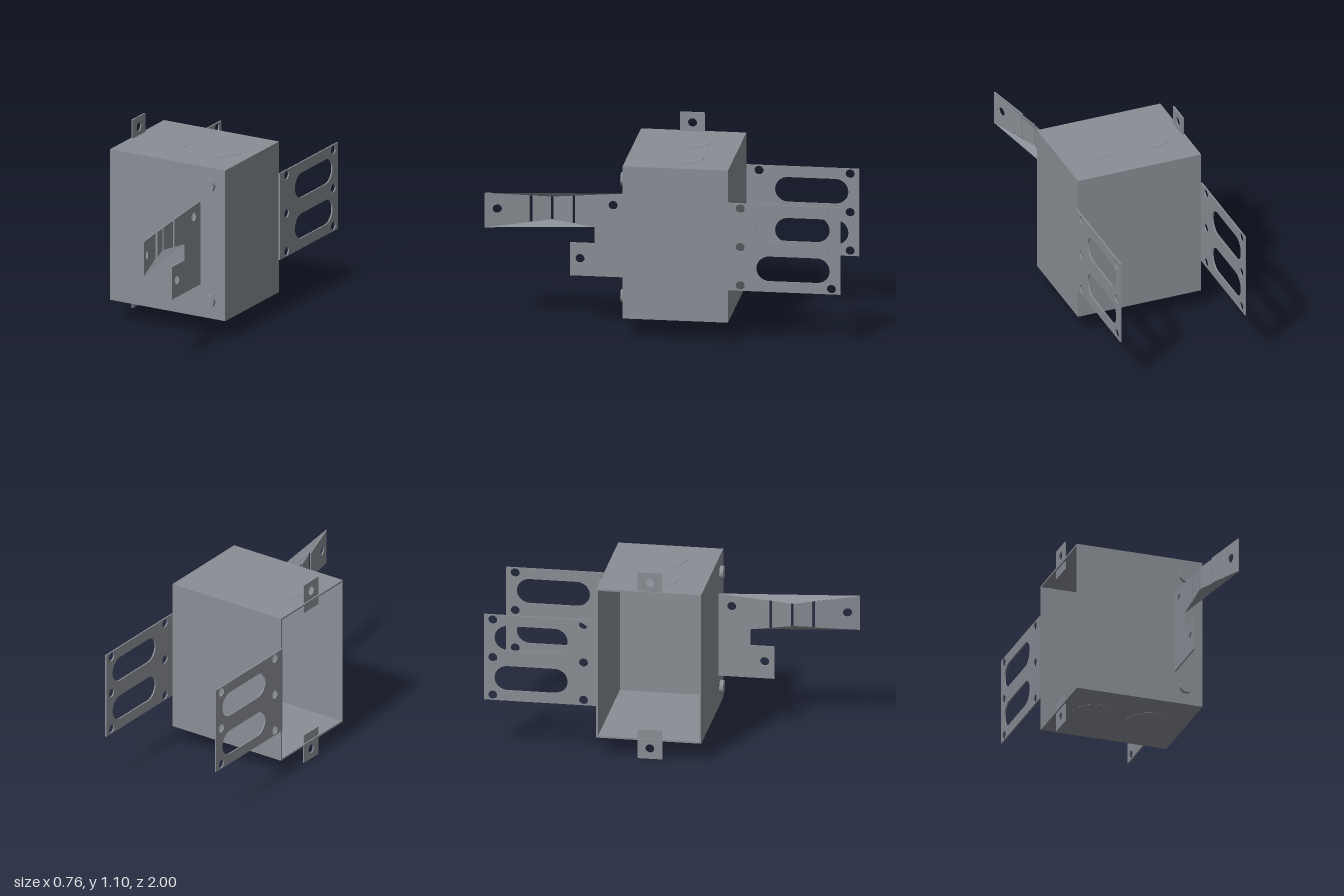
import * as THREE from 'three';

const steel = new THREE.MeshStandardMaterial({ color: 0x8a8e95, side: THREE.DoubleSide });
steel.name = 'galvanised steel';
const T = 0.008; // sheet thickness
const VALLEY = 0.64, SLOPE = 0.1 / 0.36; // fold line of the nailing arm

function add(parent, name, geometry, x = 0, y = 0, z = 0) {
  const m = new THREE.Mesh(geometry, steel);
  m.name = name;
  m.position.set(x, y, z);
  parent.add(m);
  return m;
}

const rect = (z0, z1, y0, y1) => [[z0, y0], [z1, y0], [z1, y1], [z0, y1]];

function roundHole(z, y, r = 0.025) {
  return new THREE.Path().absarc(z, y, r, 0, Math.PI * 2, true);
}

function slotHole(z0, z1, y, r) {
  const p = new THREE.Path();
  p.absarc(z1 - r, y, r, -Math.PI / 2, Math.PI / 2, false);
  p.absarc(z0 + r, y, r, Math.PI / 2, Math.PI * 1.5, false);
  p.closePath();
  return p;
}

// Thin sheet outlined in (z, y), filling x - T to x
function sheet(points, holes = []) {
  const s = new THREE.Shape(points.map(([z, y]) => new THREE.Vector2(z, y)));
  s.holes.push(...holes);
  const g = new THREE.ExtrudeGeometry(s, { depth: T, bevelEnabled: false, curveSegments: 12 });
  return g.rotateY(-Math.PI / 2);
}

// Leans the sheet outward beyond the fold
function lean(g) {
  const p = g.attributes.position;
  for (let i = 0; i < p.count; i++) {
    p.setX(i, p.getX(i) + Math.max(0, p.getZ(i) - VALLEY) * SLOPE);
  }
  g.computeVertexNormals();
  return g;
}

function triangle(...corners) {
  const g = new THREE.BufferGeometry();
  g.setAttribute('position', new THREE.Float32BufferAttribute(corners.flat(), 3));
  g.computeVertexNormals();
  return g;
}

export function createModel() {
  const model = new THREE.Group();
  model.name = 'wallBox';

  // Shell, open on the -x side
  const W = 0.74, H = 0.88, D = 0.59, cy = 0.55, cz = -0.075, wall = 0.01;
  const shell = new THREE.Group();
  shell.name = 'boxShell';
  model.add(shell);
  add(shell, 'frontWall', new THREE.BoxGeometry(W, H, wall), 0, cy, 0.22 - wall / 2);
  add(shell, 'backWall', new THREE.BoxGeometry(W, H, wall), 0, cy, -0.37 + wall / 2);
  add(shell, 'sideWall', new THREE.BoxGeometry(wall, H, D), 0.37 - wall / 2, cy, cz);
  for (const s of [-1, 1]) {
    add(shell, s > 0 ? 'topWall' : 'bottomWall', new THREE.BoxGeometry(W, wall, D),
      0, cy + s * (H - wall) / 2, cz);
    // Round knockouts
    for (const x of [-0.16, 0.16]) {
      add(model, 'knockout', new THREE.CylinderGeometry(0.13, 0.13, 0.003, 40), x, cy + s * H / 2, cz);
    }
    // Round studs on the front
    add(model, 'frontStud', new THREE.CylinderGeometry(0.037, 0.037, 0.025, 28).rotateX(Math.PI / 2),
      0.27, cy + s * 0.338, 0.229);
    // Tabs at the opening, each with a screw hole
    const y0 = s > 0 ? 0.93 : 0, y1 = s > 0 ? 1.1 : 0.17;
    add(model, 'mountingTab', sheet(rect(-0.14, 0, y0, y1), [roundHole(-0.07, cy + s * 0.49)]), -0.354);
    // Slotted side brackets
    const holes = [slotHole(-0.94, -0.53, 0.67, 0.072), slotHole(-0.94, -0.53, 0.433, 0.072)];
    for (const z of [-0.44, -0.95]) for (const y of [0.775, 0.552, 0.33]) holes.push(roundHole(z, y));
    add(model, 'sideBracket', sheet(rect(-1, -0.365, 0.3, 0.805), holes), s > 0 ? 0.378 : -0.37);
  }

  // Front bracket: flat plate with a channel-shaped arm
  const arm = new THREE.Group();
  arm.name = 'frontBracket';
  model.add(arm);
  const X = 0.213;
  const top = z => 0.75 + 0.035 * (z > VALLEY ? (z - VALLEY) / 0.36 : (VALLEY - z) / 0.42);
  const low = z => 0.62 - 0.035 * (z > VALLEY ? (z - VALLEY) / 0.36 : (VALLEY - z) / 0.24);
  const strip = (z0, z1) => [[z0, low(z0)], [z1, low(z1)], [z1, top(z1)], [z0, top(z0)]];
  add(arm, 'bracketPlate', sheet(
    [[0.22, 0.3], [0.535, 0.3], [0.535, 0.49], [0.4, 0.49], [0.4, 0.585],
      [0.507, low(0.507)], [0.507, top(0.507)], [0.22, 0.785]],
    [roundHole(0.48, 0.4), roundHole(0.295, 0.715)]), X);
  add(arm, 'armStrip', sheet(strip(0.521, 0.628)), X);
  add(arm, 'armStrip', lean(sheet(strip(0.642, 0.742))), X);
  add(arm, 'armTip', lean(sheet(strip(0.758, 1), [roundHole(0.933, 0.69)])), X - T);

  // Folded edges of the arm
  const xi = X - T / 2, tip = 0.303;
  add(arm, 'upperFlange', triangle([xi, 0.785, 0.22], [xi, 0.75, VALLEY], [tip, 0.785, 1]));
  add(arm, 'lowerFlange', triangle([xi, 0.585, 0.4], [tip, 0.585, 1], [xi, 0.62, VALLEY]));
  return model;
}
